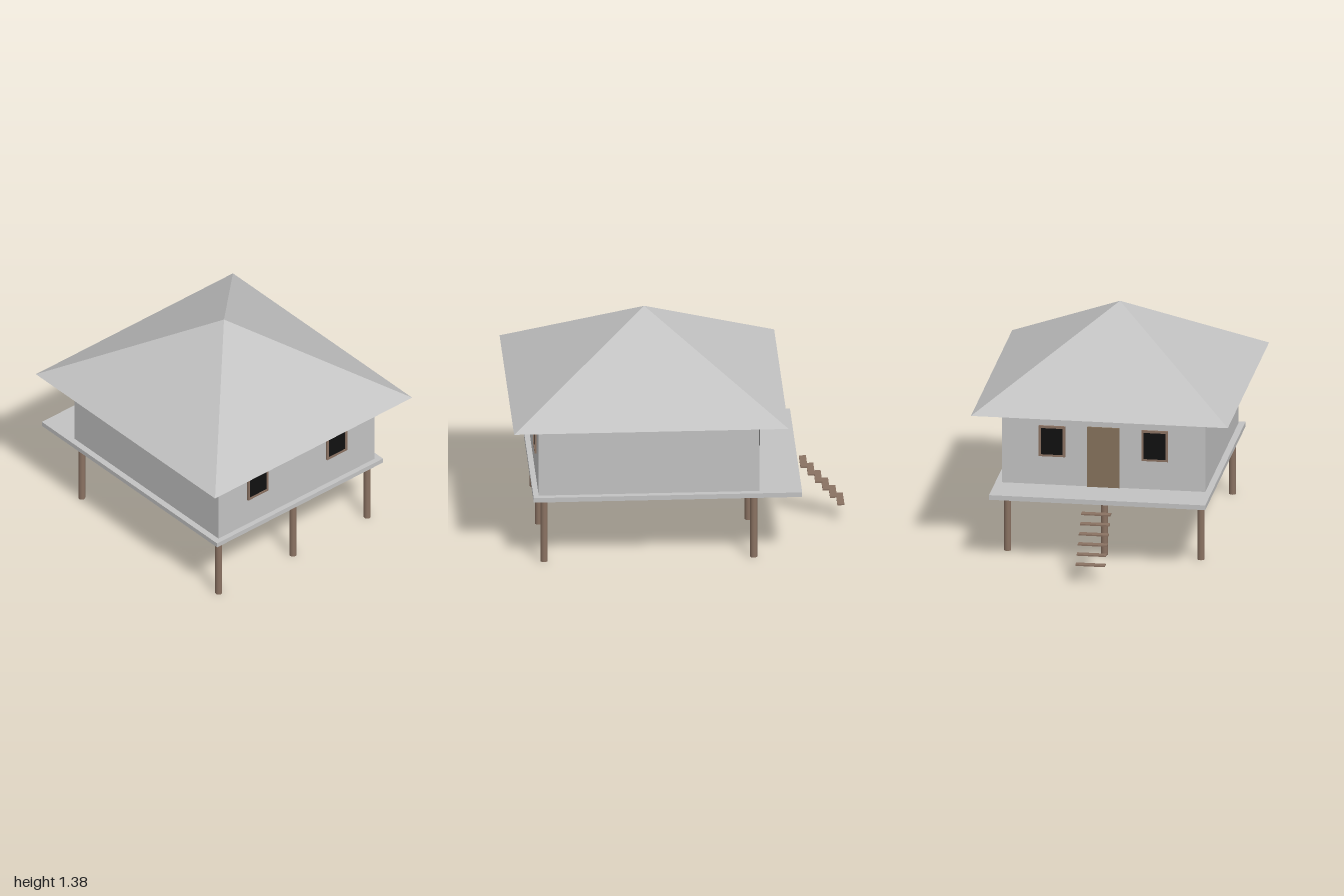
import * as THREE from 'three';

export function createModel() {
  const model = new THREE.Group();
  const mat = (name, color, extra = {}) => {
    const m = new THREE.MeshStandardMaterial({ color, ...extra });
    m.name = name;
    return m;
  };
  const plaster = mat('pale grey', 0xc2c2c2, { flatShading: true, side: THREE.DoubleSide });
  const wood = mat('brown wood', 0x8a7262);
  const doorWood = mat('door wood', 0x85725c);
  const glass = mat('dark glass', 0x101010);

  const add = (parent, name, geometry, material) => {
    const mesh = new THREE.Mesh(geometry, material);
    mesh.name = name;
    parent.add(mesh);
    return mesh;
  };
  // Box given by its lower and upper limits on each axis
  const box = (parent, name, material, [x0, x1], [y0, y1], [z0, z1]) => {
    const mesh = add(parent, name, new THREE.BoxGeometry(x1 - x0, y1 - y0, z1 - z0), material);
    mesh.position.set((x0 + x1) / 2, (y0 + y1) / 2, (z0 + z1) / 2);
    return mesh;
  };

  // Platform and walls
  box(model, 'platform', plaster, [-0.648, 0.648], [0.403, 0.432], [-0.717, 0.877]);
  box(model, 'walls', plaster, [-0.61, 0.61], [0.432, 0.892], [-0.465, 0.845]);

  // Hollow pyramid roof with overhanging eaves
  const roofShape = new THREE.ConeGeometry(Math.SQRT1_2, 1, 4, 1, true);
  roofShape.rotateY(Math.PI / 4);
  roofShape.scale(1.54, 0.49, 1.63);
  add(model, 'roof', roofShape, plaster).position.set(0, 1.137, 0.185);

  // Stilts in two rows
  const stilt = new THREE.CylinderGeometry(0.021, 0.021, 0.404, 12);
  for (const z of [0.812, -0.433])
    for (const x of [-0.58, 0, 0.58])
      add(model, 'stilt', stilt, wood).position.set(x, 0.202, z);

  // Floating stair treads
  for (let i = 0; i < 6; i++) {
    const y = 0.36 - i * 0.049, z = -0.759 - i * 0.0438;
    box(model, 'stairTread', wood, [-0.088, 0.088], [y - 0.004, y + 0.004], [z - 0.021, z + 0.021]);
  }

  // Window: four frame bars around a dark pane, facing +z
  const addWindow = (x, z, turn, paneDepth) => {
    const win = new THREE.Group();
    win.name = 'window';
    const w = 0.079, h = 0.095, t = 0.014, d = [0, 0.012];
    for (const s of [-1, 1]) {
      const side = [s * w, s * (w - t)].sort((a, b) => a - b);
      const rail = [s * h, s * (h - t)].sort((a, b) => a - b);
      box(win, 'frameSide', wood, side, [-h, h], d);
      box(win, 'frameRail', wood, [t - w, w - t], rail, d);
    }
    box(win, 'pane', glass, [t - w, w - t], [t - h, h - t], [0, paneDepth]);
    win.position.set(x, 0.705, z);
    win.rotation.y = turn;
    model.add(win);
  };
  for (const x of [-0.308, 0.308]) {
    addWindow(x, 0.845, 0, 0.008);
    addWindow(x, -0.465, Math.PI, 0.016);
  }

  // Back door
  box(model, 'door', doorWood, [-0.097, 0.097], [0.432, 0.805], [-0.474, -0.465]);

  return model;
}
